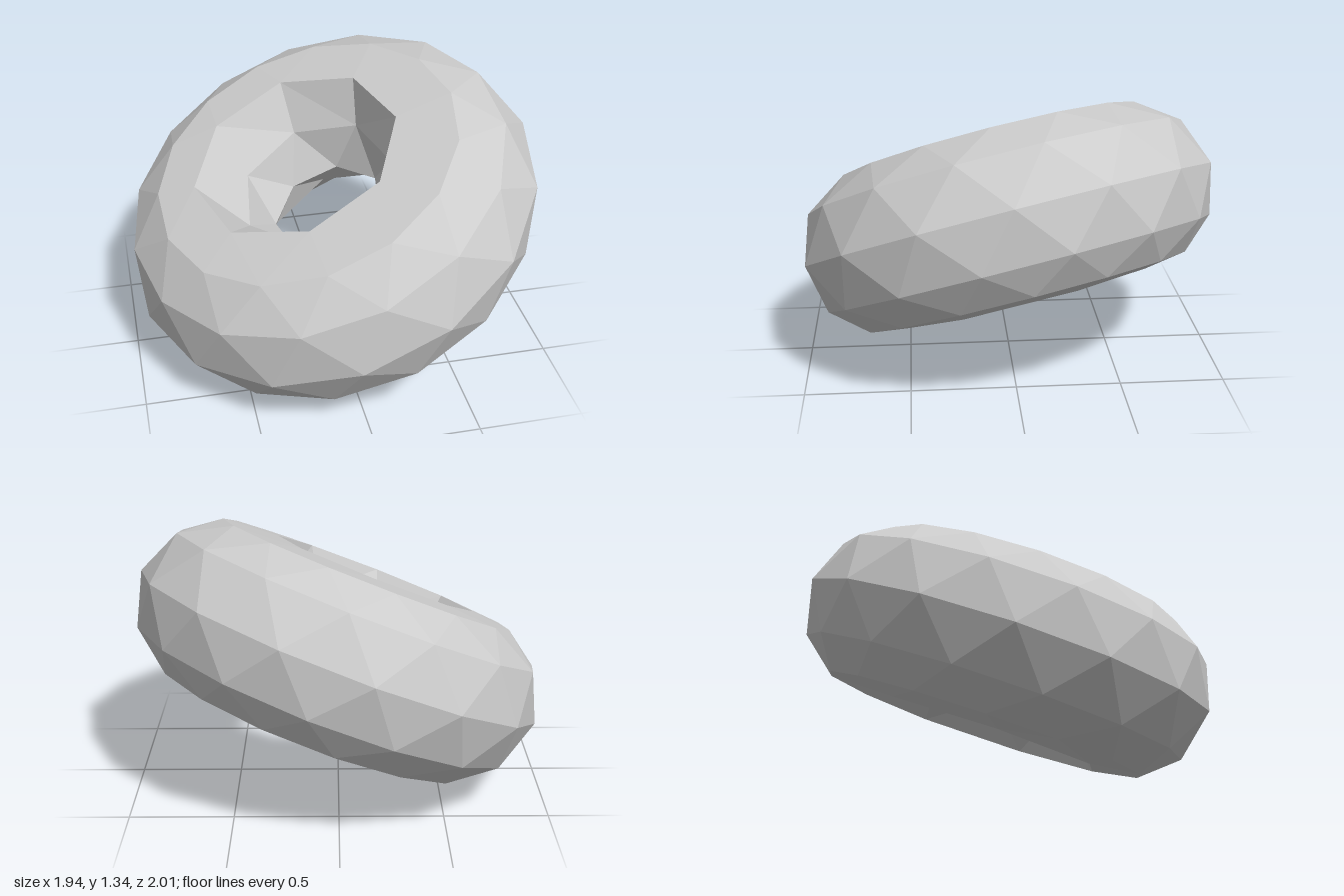
import * as THREE from 'three';

// Cross-section of the ring, from the upper rim round the outside and back
// through the hole: [radius, height, sides, turn in radians, shift x, shift z]
const HALF = Math.PI / 15;
const RINGS = [
  [0.51, 0.395, 8, 0.1, -0.04, -0.03],
  [0.75, 0.378, 15, 0, 0, 0],
  [0.945, 0.245, 15, HALF, 0, 0],
  [1.035, 0, 15, 0, 0, 0],
  [0.965, -0.24, 15, HALF, 0, 0],
  [0.81, -0.38, 15, 0, 0, 0],
  [0.615, -0.415, 7, 0.56, -0.03, 0],
  [0.4, -0.2, 7, 0.18, 0.02, 0.02],
  [0.28, -0.03, 7, 0.63, -0.01, 0],
  [0.38, 0.19, 7, 0.18, -0.01, 0],
];

// Corner k of a ring
function corner([radius, height, sides, turn, dx, dz], k) {
  const a = turn + (k / sides) * Math.PI * 2;
  return [dx + radius * Math.cos(a), height, dz + radius * Math.sin(a)];
}

// Band of triangles between two rings that may differ in their number of sides
function stitch(out, a, b) {
  const angle = (ring, k) => ring[3] + (k / ring[2]) * Math.PI * 2;
  let i = 0, j = 0;
  while (i < a[2] || j < b[2]) {
    const stepA = j >= b[2] || (i < a[2] && angle(a, i + 1) <= angle(b, j + 1));
    if (stepA) {
      out.push(...corner(a, i), ...corner(a, i + 1), ...corner(b, j));
      i++;
    } else {
      out.push(...corner(a, i), ...corner(b, j + 1), ...corner(b, j));
      j++;
    }
  }
}

export function createModel() {
  const group = new THREE.Group();
  group.name = 'tiltedRing';

  const positions = [];
  RINGS.forEach((ring, i) => stitch(positions, ring, RINGS[(i + 1) % RINGS.length]));
  const geometry = new THREE.BufferGeometry();
  geometry.setAttribute('position', new THREE.Float32BufferAttribute(positions, 3));

  // Lean the ring so its right-hand back edge is raised
  const axis = new THREE.Vector3(-0.36, 0.9, 0.22).normalize();
  geometry.applyQuaternion(
    new THREE.Quaternion().setFromUnitVectors(new THREE.Vector3(0, 1, 0), axis));

  // Stand it on the ground
  geometry.center();
  geometry.computeBoundingBox();
  geometry.translate(0, -geometry.boundingBox.min.y, 0);
  geometry.computeVertexNormals();

  const ring = new THREE.Mesh(
    geometry, new THREE.MeshStandardMaterial({ color: 0xcccccc, flatShading: true }));
  ring.name = 'facetedRing';
  group.add(ring);
  return group;
}
